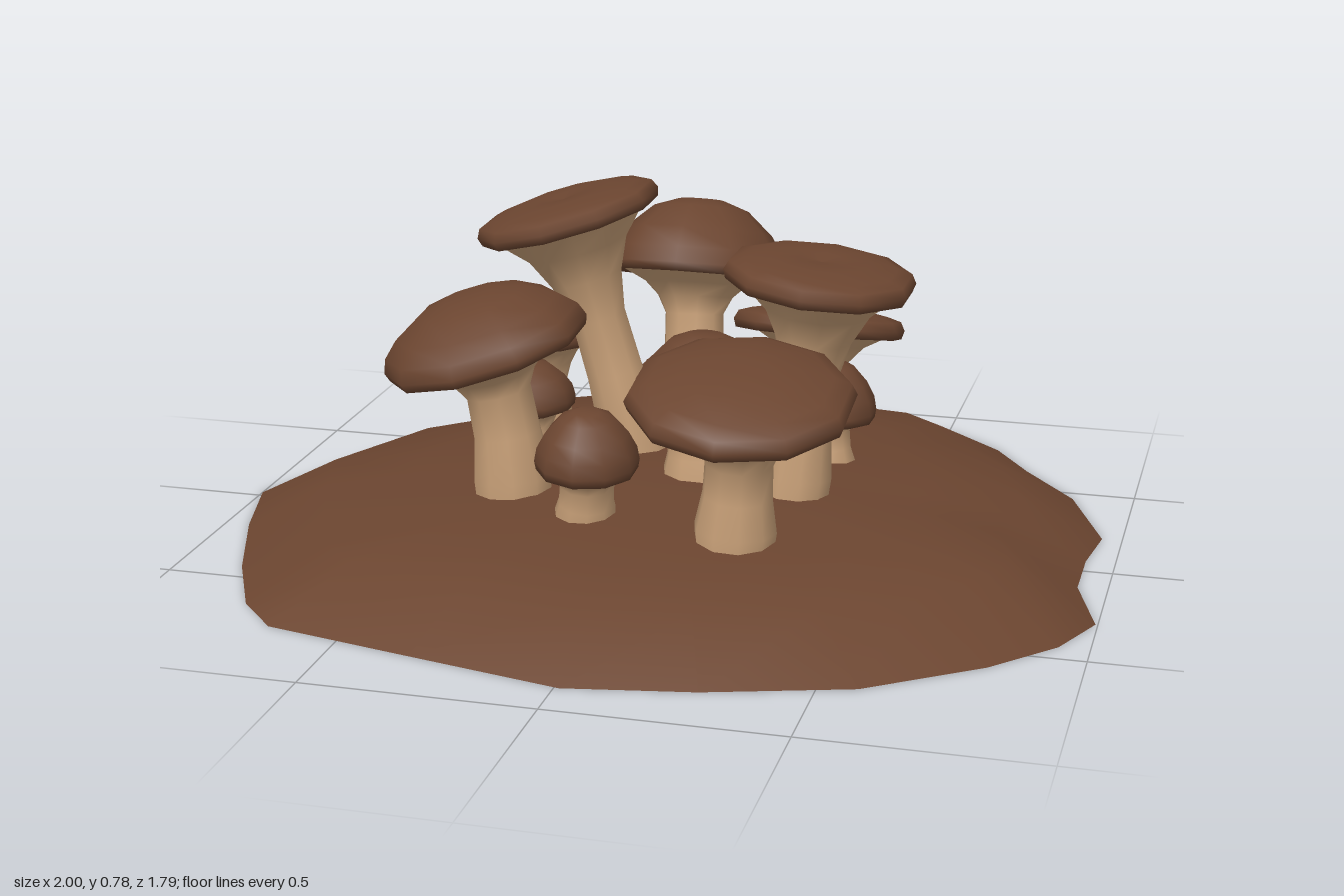
import * as THREE from 'three';

const UP = new THREE.Vector3(0, 1, 0);

// Skin a stack of equal-length point rings into one smooth open surface.
function loft(rings) {
  const n = rings[0].length, pos = [], idx = [];
  rings.forEach(r => r.forEach(p => pos.push(p.x, p.y, p.z)));
  for (let k = 0; k < rings.length - 1; k++) {
    for (let i = 0; i < n; i++) {
      const a = k * n + i, b = k * n + (i + 1) % n;
      idx.push(a, a + n, b, b, a + n, b + n);
    }
  }
  const g = new THREE.BufferGeometry();
  g.setAttribute('position', new THREE.Float32BufferAttribute(pos, 3));
  g.setIndex(idx);
  g.computeVertexNormals();
  return g;
}

// Irregular outline of the soil mound as [x, z].
const OUTLINE = [
  [-1, -0.02], [-0.84, -0.36], [-0.67, -0.52], [-0.6, -0.71], [-0.4, -0.82], [-0.07, -0.9],
  [0.31, -0.9], [0.52, -0.87], [0.64, -0.77], [0.73, -0.63], [0.86, -0.46], [0.955, -0.21],
  [0.935, -0.06], [0.935, 0.1], [0.995, 0.3], [0.935, 0.44], [0.81, 0.58], [0.58, 0.75],
  [0.28, 0.845], [0.01, 0.895], [-0.33, 0.82], [-0.665, 0.745], [-0.76, 0.64], [-0.855, 0.44], [-0.945, 0.19],
];

// Hollow mound: [outline scale, height] from the rim to the crown.
function moundGeometry() {
  const levels = [[1, 0], [0.81, 0.1], [0.6, 0.132], [0.36, 0.157], [0.15, 0.167], [0.005, 0.17]];
  return loft(levels.map(([s, y]) => OUTLINE.map(([x, z]) => new THREE.Vector3(x * s, y, z * s))));
}

// Leaning stem that flares into the gills under the cap.
function stemGeometry(base, top, normal, r, R, flare) {
  const len = base.distanceTo(top);
  const bend = top.clone().addScaledVector(normal, -len * 0.5);
  const curve = new THREE.QuadraticBezierCurve3(base, bend, top);
  const f = Math.min(0.6, flare / len), e = 0.88 * R;
  const profile = [
    [0, r * 1.05], [(1 - f) * 0.3, r * 1.12], [(1 - f) * 0.65, r * 0.95], [1 - f, r * 0.92],
    [1 - f * 0.6, r + (e - r) * 0.13], [1 - f * 0.3, r + (e - r) * 0.42], [1, e],
  ];
  const q = new THREE.Quaternion();
  return loft(profile.map(([t, rad]) => {
    const c = curve.getPoint(t);
    q.setFromUnitVectors(UP, curve.getTangent(t).normalize());
    return Array.from({ length: 10 }, (_, i) => {
      const a = i / 10 * Math.PI * 2;
      return new THREE.Vector3(Math.cos(a) * rad, 0, Math.sin(a) * rad).applyQuaternion(q).add(c);
    });
  }));
}

// Cap: turned-under lip, thin rim, then a dome (or a shallow plate with a dip).
function capGeometry(R, h, dip) {
  const pts = [
    [0.84 * R, 0.004], [0.97 * R, -0.012], [R, 0.008], [0.95 * R, 0.02 + h * 0.15],
    [0.8 * R, 0.01 + h * 0.5], [0.52 * R, h * 0.88], [0.25 * R, h - dip * 0.5], [0, h - dip],
  ].map(p => new THREE.Vector2(...p));
  return new THREE.LatheGeometry(pts, 10);
}

// base [x, z], rim centre [x, y, z], tilt slopes [x, z], cap radius and height, stem radius
const MUSHROOMS = [
  { name: 'tallMushroom', base: [-0.09, -0.12], cap: [-0.26, 0.7, -0.1], tilt: [-0.29, 0.02], R: 0.212, h: 0.055, r: 0.07, flare: 0.24, dip: 0.015 },
  { name: 'rearDomeMushroom', base: [0.01, -0.25], cap: [-0.02, 0.53, -0.33], tilt: [0, -0.32], R: 0.212, h: 0.165, r: 0.075, flare: 0.1 },
  { name: 'rearFlatMushroom', base: [0.24, -0.42], cap: [0.24, 0.365, -0.49], tilt: [0.02, -0.25], R: 0.205, h: 0.055, r: 0.06, flare: 0.13 },
  { name: 'rightPlateMushroom', base: [0.3, 0.08], cap: [0.35, 0.635, 0.06], tilt: [0.1, 0], R: 0.21, h: 0.055, r: 0.07, flare: 0.22, dip: 0.015 },
  { name: 'leftDomeMushroom', base: [-0.3, 0.2], cap: [-0.355, 0.475, 0.215], tilt: [-0.28, 0.08], R: 0.23, h: 0.125, r: 0.08, flare: 0.1 },
  { name: 'frontMushroom', base: [0.235, 0.36], cap: [0.255, 0.455, 0.39], tilt: [0.05, 0.2], R: 0.243, h: 0.08, r: 0.08, flare: 0.14 },
  { name: 'centreDomeMushroom', base: [0.08, 0.03], cap: [0.08, 0.33, 0.015], tilt: [0.03, -0.08], R: 0.158, h: 0.15, r: 0.08, flare: 0.07 },
  { name: 'backLeftMushroom', base: [-0.38, -0.3], cap: [-0.395, 0.345, -0.31], tilt: [-0.08, -0.08], R: 0.14, h: 0.06, r: 0.062, flare: 0.1 },
  { name: 'smallRightMushroom', base: [0.33, -0.18], cap: [0.32, 0.255, -0.19], tilt: [0, -0.05], R: 0.115, h: 0.125, r: 0.06, flare: 0.04 },
  { name: 'smallFrontMushroom', base: [-0.11, 0.3], cap: [-0.095, 0.27, 0.33], tilt: [0.03, 0.1], R: 0.113, h: 0.12, r: 0.065, flare: 0.05 },
  { name: 'smallLeftMushroom', base: [-0.35, -0.05], cap: [-0.35, 0.265, -0.06], tilt: [-0.08, 0], R: 0.11, h: 0.1, r: 0.06, flare: 0.05 },
  { name: 'tinyMushroom', base: [-0.11, -0.34], cap: [-0.11, 0.235, -0.35], tilt: [0, -0.05], R: 0.07, h: 0.07, r: 0.035, flare: 0.03 },
];

export function createModel() {
  const model = new THREE.Group();
  model.name = 'mushroomCluster';
  const brown = new THREE.MeshStandardMaterial({ color: 0x6b4530, side: THREE.DoubleSide });
  brown.name = 'earthBrown';
  const tan = new THREE.MeshStandardMaterial({ color: 0xc8a078, side: THREE.DoubleSide });
  tan.name = 'stemTan';

  const add = (parent, name, geometry, material) => {
    const mesh = new THREE.Mesh(geometry, material);
    mesh.name = name;
    parent.add(mesh);
    return mesh;
  };

  add(model, 'mound', moundGeometry(), brown);

  for (const m of MUSHROOMS) {
    const group = new THREE.Group();
    group.name = m.name;
    const normal = new THREE.Vector3(m.tilt[0], 1, m.tilt[1]).normalize();
    const top = new THREE.Vector3(...m.cap);
    const base = new THREE.Vector3(m.base[0], 0.1, m.base[1]);
    add(group, 'stem', stemGeometry(base, top, normal, m.r, m.R, m.flare), tan);
    const cap = add(group, 'cap', capGeometry(m.R, m.h, m.dip || 0), brown);
    cap.position.copy(top);
    cap.quaternion.setFromUnitVectors(UP, normal);
    model.add(group);
  }
  return model;
}
